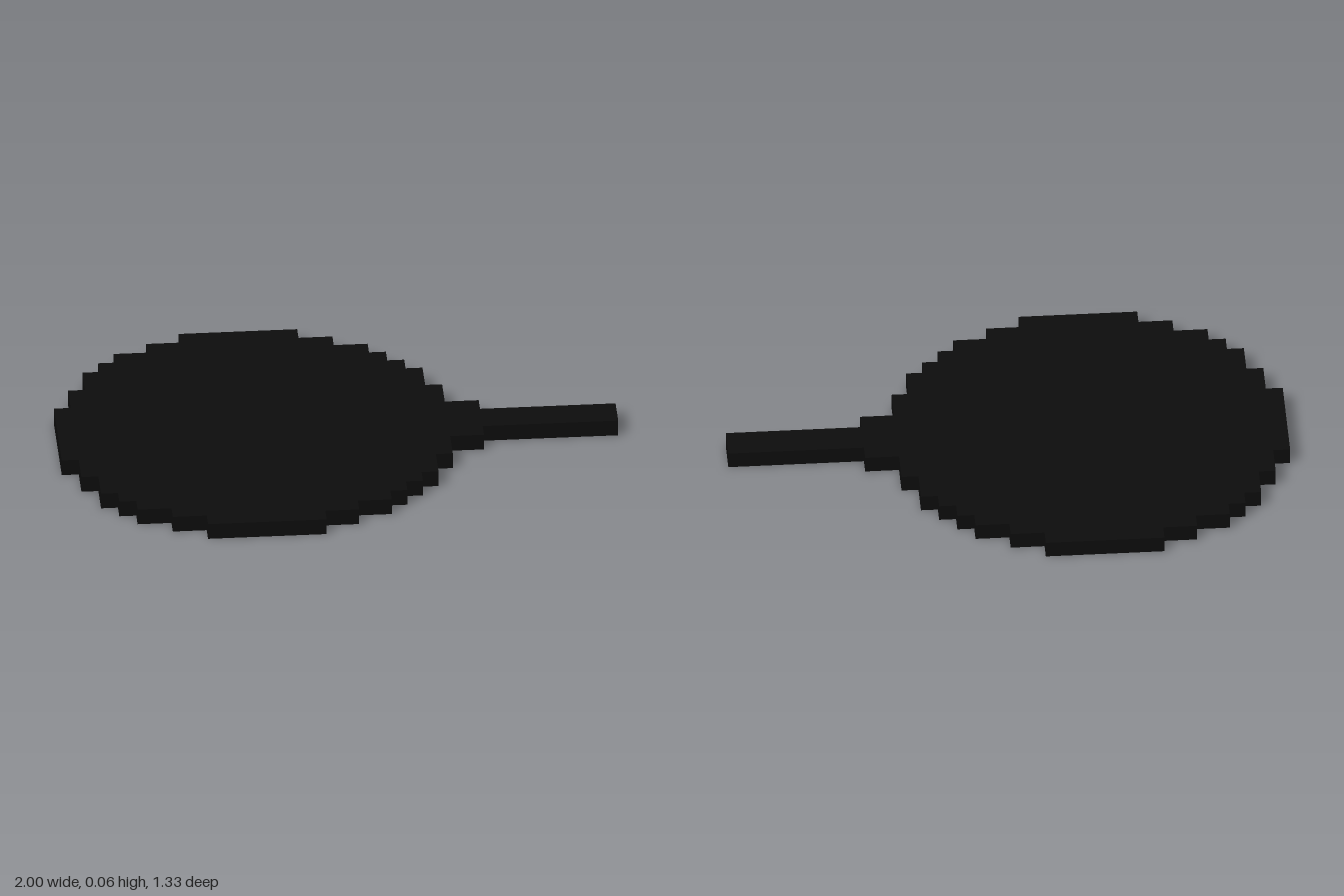
import * as THREE from 'three';

const U = 2 / 33; // size of one block

// Columns of blocks along x: [length, half width]
const PAN = [[1, 3], [1, 5], [1, 7], [1, 8], [2, 9], [2, 10], [7, 11], [2, 10],
  [2, 9], [1, 8], [1, 7], [1, 6], [1, 4]];
const COLLAR = [[2, 2]];
const HANDLE = [[8, 1]];

export function createModel() {
  const group = new THREE.Group();
  const black = new THREE.MeshStandardMaterial({ color: 0x0d0d0d });
  black.name = 'black';
  let column = 0;

  // One-block-thick slab with a stepped outline, mirrored about the x axis
  function addSlab(name, columns) {
    const edge = [];
    for (const [length, half] of columns) {
      edge.push([column, half], [column + length, half]);
      column += length;
    }
    const mirrored = edge.map(([x, h]) => [x, -h]).reverse();
    const points = [...edge, ...mirrored]
      .map(([x, h]) => new THREE.Vector2(x * U - 1, h * U));
    const geometry = new THREE.ExtrudeGeometry(new THREE.Shape(points), { depth: U, bevelEnabled: false });
    geometry.rotateX(-Math.PI / 2);
    const mesh = new THREE.Mesh(geometry, black);
    mesh.name = name;
    group.add(mesh);
  }

  addSlab('roundPlate', PAN);
  addSlab('handleCollar', COLLAR);
  addSlab('handle', HANDLE);
  return group;
}
